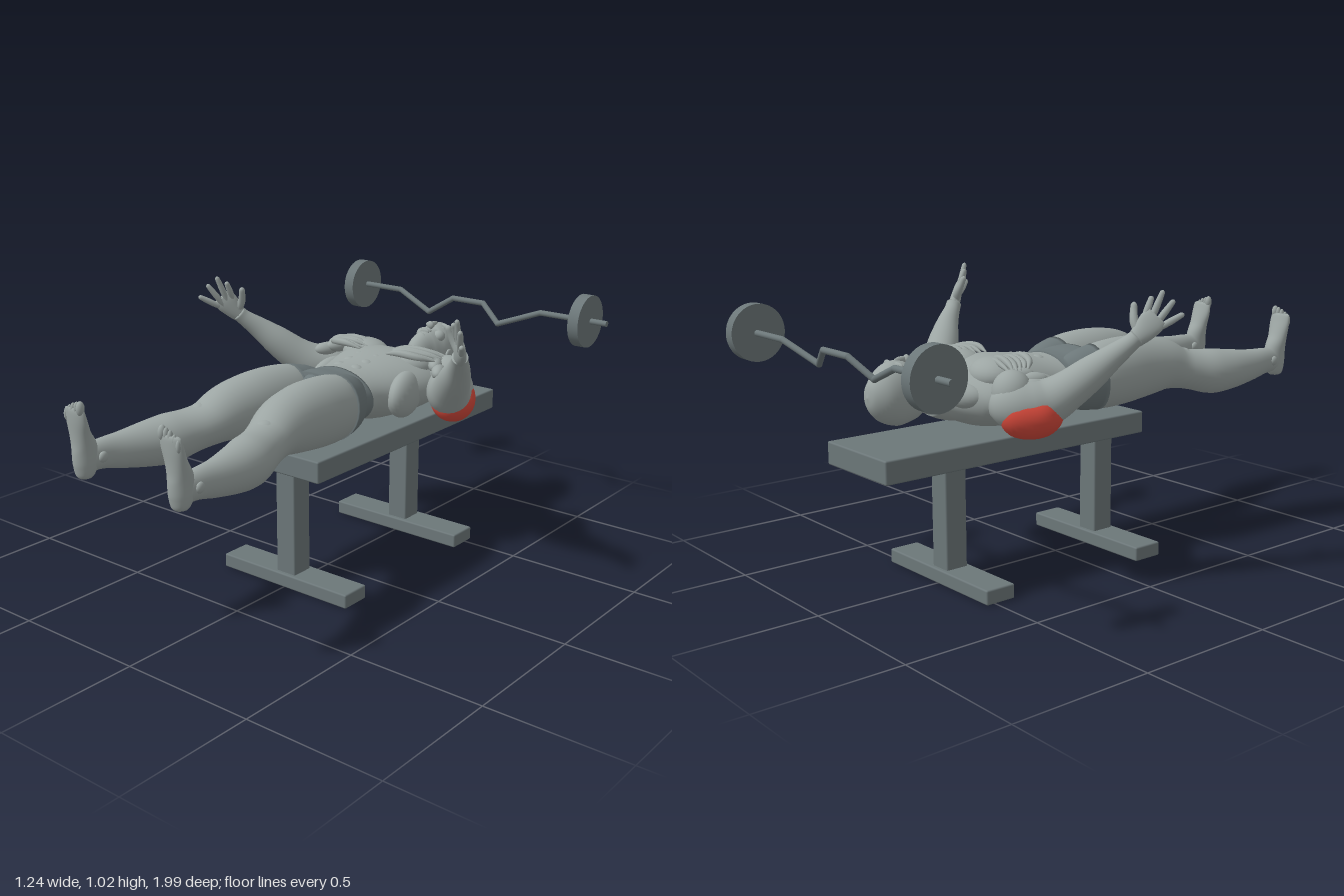
import * as THREE from 'three';
import { RoundedBoxGeometry } from 'three/addons/geometries/RoundedBoxGeometry.js';

const material = (name, color) => Object.assign(new THREE.MeshStandardMaterial({ color }), { name });
const skin = material('skinGrey', 0x9ca5a3);
const dark = material('equipmentGrey', 0x6c7779);
const red = material('muscleRed', 0xd84a3c);

// Smooth closed skin through stations [x, y, z, half width, half height]
function loft(stations, { side = [1, 0, 0], seg = 28, steps = 5 } = {}) {
  const path = new THREE.CatmullRomCurve3(stations.map(s => new THREE.Vector3(s[0], s[1], s[2])), false, 'catmullrom');
  const size = new THREE.CatmullRomCurve3(stations.map(s => new THREE.Vector3(s[3], s[4] ?? s[3], 0)), false, 'catmullrom');
  const rows = (stations.length - 1) * steps;
  const ref = new THREE.Vector3(...side);
  const pos = [], idx = [];
  for (let i = 0; i <= rows; i++) {
    const t = i / rows, p = path.getPoint(t), r = size.getPoint(t);
    const T = path.getTangent(t);
    const u = ref.clone().addScaledVector(T, -ref.dot(T)).normalize();
    const v = T.clone().cross(u);
    for (let j = 0; j < seg; j++) {
      const a = j / seg * Math.PI * 2;
      const q = p.clone().addScaledVector(u, r.x * Math.cos(a)).addScaledVector(v, r.y * Math.sin(a));
      pos.push(q.x, q.y, q.z);
    }
  }
  for (let i = 0; i < rows; i++) for (let j = 0; j < seg; j++) {
    const a = i * seg + j, b = i * seg + (j + 1) % seg;
    idx.push(a, b, b + seg, a, b + seg, a + seg);
  }
  // end caps
  const c0 = pos.length / 3, p0 = path.getPoint(0), p1 = path.getPoint(1), last = rows * seg;
  pos.push(p0.x, p0.y, p0.z, p1.x, p1.y, p1.z);
  for (let j = 0; j < seg; j++) {
    const k = (j + 1) % seg;
    idx.push(c0, k, j, c0 + 1, last + j, last + k);
  }
  const g = new THREE.BufferGeometry();
  g.setAttribute('position', new THREE.Float32BufferAttribute(pos, 3));
  g.setIndex(idx);
  g.computeVertexNormals();
  return g;
}

export function createModel() {
  const model = new THREE.Group();
  model.name = 'liftingFigureOnBench';
  const group = name => { const g = new THREE.Group(); g.name = name; model.add(g); return g; };
  const add = (parent, name, geo, mat, p = [0, 0, 0]) => {
    const m = new THREE.Mesh(geo, mat);
    m.name = name; m.position.set(...p); parent.add(m);
    return m;
  };
  const blob = (parent, name, p, r, mat = skin, rotY = 0) => {
    const m = add(parent, name, new THREE.SphereGeometry(1, 24, 16), mat, p);
    m.scale.set(...r); m.rotation.y = rotY;
    return m;
  };
  const rod = (parent, name, a, b, r) => {
    const A = new THREE.Vector3(...a), B = new THREE.Vector3(...b), d = B.clone().sub(A);
    const m = add(parent, name, new THREE.CylinderGeometry(r, r, d.length(), 14), dark);
    m.position.copy(A).add(B).multiplyScalar(0.5);
    m.quaternion.setFromUnitVectors(new THREE.Vector3(0, 1, 0), d.normalize());
  };
  const mirror = (s, list) => list.map(([x, ...rest]) => [x * s, ...rest]);

  // Bench
  const bench = group('bench');
  const box = (name, w, h, d, p) => add(bench, name, new RoundedBoxGeometry(w, h, d, 2, 0.006), dark, p);
  box('benchPad', 0.35, 0.08, 1.11, [0, 0.48, -0.285]);
  for (const z of [0.198, -0.477]) {
    box('benchPost', 0.084, 0.41, 0.086, [0, 0.245, z]);
    box('benchFoot', 0.57, 0.052, 0.116, [0, 0.026, z]);
  }

  // Curl bar with bent grips and two plates
  const barbell = group('barbell');
  const bar = [[0.62, 0.845, -0.9], [0.335, 0.845, -0.9], [0.165, 0.782, -0.864], [0.072, 0.845, -0.9]];
  for (const s of [1, -1]) {
    const pts = mirror(s, bar);
    for (let i = 0; i < 3; i++) {
      rod(barbell, 'barSection', pts[i], pts[i + 1], 0.011);
      blob(barbell, 'barBend', pts[i + 1], [0.011, 0.011, 0.011], dark);
    }
    rod(barbell, 'weightPlate', [s * 0.51, 0.845, -0.895], [s * 0.553, 0.845, -0.895], 0.1);
    barbell.children.at(-1).geometry = new THREE.CylinderGeometry(0.1, 0.1, 0.043, 40);
  }
  rod(barbell, 'barCentre', bar[3], [-0.072, 0.845, -0.9], 0.011);

  // Torso
  const body = group('figure');
  add(body, 'torso', loft([
    [0, 0.645, -0.55, 0.058, 0.05], [0, 0.64, -0.495, 0.105, 0.068], [0, 0.645, -0.45, 0.19, 0.085],
    [0, 0.648, -0.39, 0.225, 0.108], [0, 0.652, -0.31, 0.222, 0.122], [0, 0.648, -0.2, 0.185, 0.117],
    [0, 0.652, -0.1, 0.157, 0.1], [0, 0.65, 0, 0.16, 0.098], [0, 0.65, 0.06, 0.15, 0.09]], { seg: 48 }), skin);

  // Shorts
  add(body, 'shortsWaist', loft([
    [0, 0.651, -0.058, 0.161, 0.102], [0, 0.651, -0.01, 0.167, 0.104], [0, 0.653, 0.04, 0.185, 0.108],
    [0, 0.655, 0.092, 0.192, 0.108]], { seg: 48 }), dark);
  blob(body, 'shortsFront', [0, 0.695, 0.075], [0.055, 0.065, 0.05], dark);

  // Head and face
  const head = group('head');
  add(head, 'skull', loft([
    [0, 0.685, -0.79, 0.002, 0.002], [0, 0.685, -0.779, 0.036, 0.045], [0, 0.685, -0.74, 0.066, 0.088],
    [0, 0.688, -0.69, 0.076, 0.108], [0, 0.69, -0.64, 0.071, 0.101], [0, 0.698, -0.6, 0.06, 0.083],
    [0, 0.693, -0.572, 0.048, 0.074], [0, 0.657, -0.556, 0.055, 0.054], [0, 0.645, -0.52, 0.062, 0.054],
    [0, 0.645, -0.47, 0.09, 0.06]], { seg: 36 }), skin);
  blob(head, 'noseBridge', [0, 0.792, -0.658], [0.009, 0.015, 0.028]);
  blob(head, 'noseTip', [0, 0.795, -0.636], [0.015, 0.016, 0.011]);
  blob(head, 'upperLip', [0, 0.781, -0.608], [0.024, 0.012, 0.006]);
  blob(head, 'lowerLip', [0, 0.777, -0.598], [0.02, 0.012, 0.006]);
  blob(head, 'chin', [0, 0.755, -0.573], [0.026, 0.022, 0.017]);
  for (const s of [1, -1]) {
    blob(head, 'brow', [s * 0.03, 0.782, -0.689], [0.025, 0.013, 0.008], skin, s * -0.15);
    blob(head, 'eye', [s * 0.029, 0.774, -0.673], [0.014, 0.012, 0.007]);
    blob(head, 'cheek', [s * 0.038, 0.755, -0.64], [0.024, 0.024, 0.026]);
    blob(head, 'ear', [s * 0.077, 0.685, -0.655], [0.009, 0.022, 0.032], skin, s * 0.25);
  }

  for (const s of [1, -1]) {
    const m = list => mirror(s, list);
    const P = (x, y, z) => [s * x, y, z];

    // Chest, shoulder and stomach muscles
    const muscles = group('muscles');
    blob(muscles, 'chestMuscle', P(0.1, 0.725, -0.355), [0.098, 0.06, 0.085], skin, s * 0.25);
    blob(muscles, 'shoulderMuscle', P(0.248, 0.692, -0.395), [0.068, 0.074, 0.068], skin, s * -0.5);
    blob(muscles, 'sideBackMuscle', P(0.165, 0.64, -0.24), [0.05, 0.085, 0.11], skin, s * 0.2);
    blob(muscles, 'collarMuscle', P(0.085, 0.665, -0.475), [0.085, 0.045, 0.045], skin, s * -0.4);
    for (const [i, z] of [-0.235, -0.175, -0.115].entries())
      blob(muscles, 'stomachMuscle', P(0.035, 0.742 - i * 0.007, z), [0.034, 0.026, 0.033]);
    for (let i = 0; i < 6; i++) { // fibres fanning from shoulder to chest
      const z = -0.375 + i * 0.022, w = 0.009 + (i % 3) * 0.002;
      add(muscles, 'chestFibre', loft(m([
        [0.24, 0.758, -0.4 + i * 0.016, 0.003], [0.19, 0.768 + (i % 2) * 0.006, z - 0.012, w],
        [0.12, 0.776 + (i % 2) * 0.005, z + 0.006, w], [0.06, 0.768, z, 0.003]]), { side: [0, 0, 1], seg: 8 }), skin);
    }
    for (let i = 0; i < 4; i++)
      blob(muscles, 'shoulderFibre', P(0.225 + i * 0.034, 0.738 - i * 0.014, -0.345 + (i % 2) * 0.03), [0.026, 0.026, 0.05], skin, s * 0.5);

    // Arm with red back muscle
    const arm = group(s > 0 ? 'leftArm' : 'rightArm');
    add(arm, 'armSkin', loft(m([
      [0.2, 0.65, -0.43, 0.045], [0.25, 0.65, -0.405, 0.08], [0.285, 0.647, -0.355, 0.086],
      [0.32, 0.66, -0.3, 0.078], [0.36, 0.698, -0.25, 0.066], [0.41, 0.755, -0.195, 0.056],
      [0.455, 0.808, -0.145, 0.041], [0.488, 0.85, -0.1, 0.03], [0.502, 0.872, -0.08, 0.028]]), { side: [0, 1, 0] }), skin);
    add(arm, 'upperArmBackMuscle', loft(m([
      [0.24, 0.635, -0.445, 0.02], [0.265, 0.628, -0.415, 0.068], [0.298, 0.62, -0.36, 0.081],
      [0.325, 0.633, -0.308, 0.074], [0.345, 0.652, -0.268, 0.03]]), { side: [0, 1, 0] }), red);

    // Hand
    const across = [s * 0.078, -0.055, 0.065];
    add(arm, 'palm', loft(m([
      [0.493, 0.856, -0.092, 0.026, 0.022], [0.512, 0.887, -0.065, 0.036, 0.02],
      [0.527, 0.917, -0.042, 0.043, 0.016], [0.538, 0.938, -0.026, 0.036, 0.01]]), { side: across, seg: 20 }), skin);
    const tips = [[0.508, 1.0, -0.022], [0.537, 1.02, 0], [0.566, 0.99, 0.022], [0.588, 0.945, 0.045]];
    tips.forEach((tip, i) => {
      const k = i / 3, base = [0.508 + 0.045 * k, 0.942 - 0.033 * k, -0.05 + 0.04 * k];
      const at = (f, r) => [...base.map((b, n) => b + (tip[n] - b) * f), r];
      add(arm, 'finger', loft(m([at(-0.2, 0.01), at(0.3, 0.0115), at(0.7, 0.01), at(0.93, 0.008), at(1, 0.001)]), { side: across, seg: 10, steps: 3 }), skin);
    });
    add(arm, 'thumb', loft(m([
      [0.5, 0.885, -0.075, 0.014], [0.481, 0.92, -0.075, 0.015], [0.469, 0.952, -0.066, 0.012],
      [0.464, 0.972, -0.06, 0.01], [0.463, 0.98, -0.058, 0.001]]), { side: across, seg: 10, steps: 3 }), skin);

    // Leg
    const leg = group(s > 0 ? 'leftLeg' : 'rightLeg');
    add(leg, 'shortsLeg', loft(m([
      [0.08, 0.65, -0.04, 0.06, 0.085], [0.092, 0.653, 0.02, 0.086, 0.107], [0.102, 0.659, 0.095, 0.102, 0.12]])), dark);
    add(leg, 'legSkin', loft(m([
      [0.1, 0.658, 0.05, 0.08, 0.1], [0.104, 0.66, 0.1, 0.098, 0.118], [0.108, 0.667, 0.2, 0.103, 0.123],
      [0.112, 0.672, 0.3, 0.1, 0.117], [0.123, 0.67, 0.4, 0.092, 0.1], [0.138, 0.65, 0.48, 0.081, 0.078],
      [0.155, 0.638, 0.54, 0.078, 0.076], [0.177, 0.626, 0.62, 0.082, 0.085], [0.194, 0.625, 0.7, 0.073, 0.077],
      [0.207, 0.63, 0.8, 0.053, 0.062], [0.213, 0.638, 0.88, 0.039, 0.051], [0.212, 0.636, 0.95, 0.034, 0.046]])), skin);
    blob(leg, 'kneeCap', P(0.145, 0.695, 0.495), [0.038, 0.03, 0.045]);
    for (const x of [0.177, 0.247]) blob(leg, 'ankleBone', P(x, 0.64, 0.905), [0.011, 0.018, 0.018]);

    // Foot, sole facing forward
    add(leg, 'foot', loft(m([
      [0.212, 0.573, 0.958, 0.004, 0.004], [0.212, 0.583, 0.957, 0.026, 0.027], [0.212, 0.62, 0.95, 0.035, 0.042],
      [0.212, 0.675, 0.95, 0.037, 0.043], [0.212, 0.725, 0.963, 0.04, 0.029], [0.21, 0.775, 0.975, 0.045, 0.02],
      [0.21, 0.808, 0.981, 0.042, 0.014], [0.21, 0.815, 0.981, 0.03, 0.008]])), skin);
    for (let i = 0; i < 5; i++) {
      const r = i === 0 ? 0.0125 : 0.0088 - i * 0.0003;
      blob(leg, 'toe', P(0.179 + i * 0.0165, 0.818 - i * i * 0.0018, 0.984), [r, i === 0 ? 0.024 : 0.021, r + 0.002]);
    }
  }
  return model;
}
